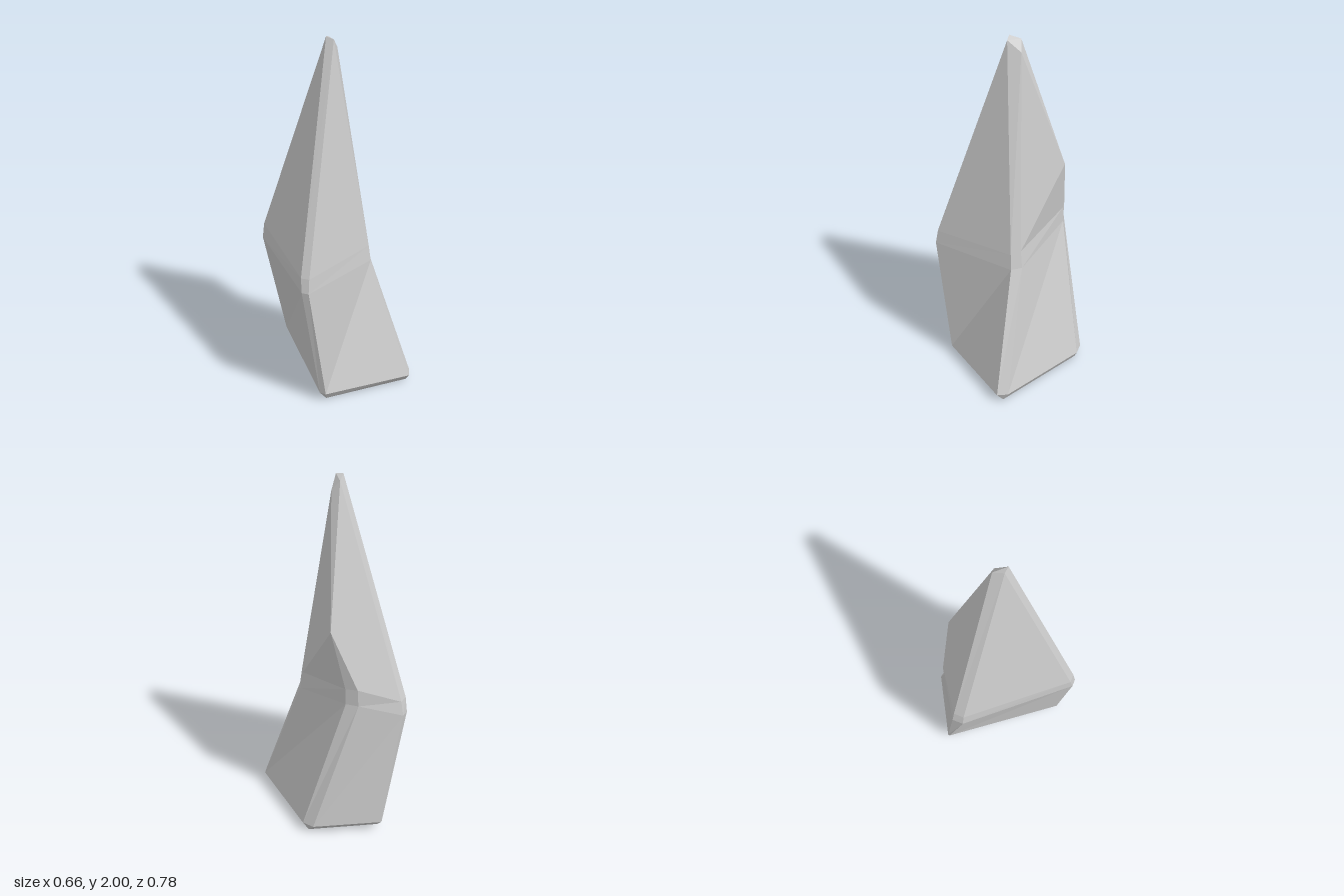
import * as THREE from 'three';

const v = (x, y, z) => new THREE.Vector3(x, y, z);

// Flat-shaded mesh from outward-facing polygons; collapsed corners are skipped.
function facetMesh(name, polygons) {
  const points = [];
  for (const p of polygons) {
    for (let i = 1; i < p.length - 1; i++) {
      const tri = new THREE.Triangle(p[0], p[i], p[i + 1]);
      if (tri.getArea() > 1e-7) points.push(tri.a, tri.b, tri.c);
    }
  }
  const geometry = new THREE.BufferGeometry().setFromPoints(points);
  geometry.computeVertexNormals();
  const material = new THREE.MeshStandardMaterial({ color: 0xcccccc, flatShading: true });
  const mesh = new THREE.Mesh(geometry, material);
  mesh.name = name;
  return mesh;
}

// Quads joining two rings that run counter-clockwise seen from above.
const strip = (lo, hi) => lo.map((p, i) => {
  const j = (i + 1) % lo.length;
  return [p, lo[j], hi[j], hi[i]];
});

export function createModel() {
  // Foot corners: front -x, front +x, back +x, back -x
  const [f0, f1, f2, f3] = [v(-0.18, 0, 0.28), v(0.3, 0, 0.35), v(0.295, 0, -0.2), v(-0.06, 0.02, -0.35)];
  const foot = [f0, f1, f1, f2, f2, f3, f3, f0];

  // Each ring has two points per chamfered corner, starting at front -x
  const base = [
    v(-0.2, 0.05, 0.31), v(0.295, 0.05, 0.39), v(0.33, 0.05, 0.34), v(0.325, 0.05, -0.19),
    v(0.29, 0.05, -0.25), v(-0.06, 0.06, -0.388), v(-0.07, 0.06, -0.383), v(-0.22, 0.05, 0.28),
  ];
  const waistLow = [
    v(-0.305, 0.73, 0.315), v(0.165, 0.73, 0.172), v(0.19, 0.73, 0.115), v(0.1, 0.82, -0.27),
    v(0.05, 0.82, -0.32), v(-0.18, 0.74, -0.395), v(-0.225, 0.73, -0.355), v(-0.33, 0.73, 0.285),
  ];
  const waistHigh = [
    v(-0.295, 0.81, 0.305), v(0.155, 0.82, 0.165), v(0.175, 0.83, 0.11), v(0.1, 0.91, -0.265),
    v(0.055, 0.92, -0.32), v(-0.175, 0.82, -0.38), v(-0.22, 0.82, -0.345), v(-0.325, 0.81, 0.27),
  ];

  // Overhanging shoulder and the four corners of the blunt tip
  const shoulder = v(0.16, 1.24, -0.215);
  const [tF, tR, tB, tL] = [v(0, 1.99, 0.05), v(0.05, 1.925, 0), v(0.015, 1.98, -0.03), v(-0.025, 2, 0.015)];
  const a = waistHigh;

  const group = new THREE.Group();
  group.name = 'rockShard';
  group.add(
    facetMesh('lowerStone', [[f3, f2, f1, f0], ...strip(foot, base), ...strip(base, waistLow)]),
    facetMesh('waistBand', strip(waistLow, waistHigh)),
    facetMesh('spire', [
      [a[0], a[1], tF], // front
      [a[1], a[2], tR, tF], // front chamfer
      [a[2], shoulder, tR], // upper side
      [a[2], a[3], shoulder], // undercut
      [a[3], a[4], shoulder], // chamfer below the shoulder
      [shoulder, tB, tR], // chamfer above the shoulder
      [a[4], a[5], tB, shoulder], // back
      [a[5], a[6], tL, tB], // back chamfer
      [a[6], a[7], tL], // far side
      [a[7], a[0], tF, tL], // far chamfer
      [tF, tR, tB, tL], // tip
    ]),
  );
  return group;
}
